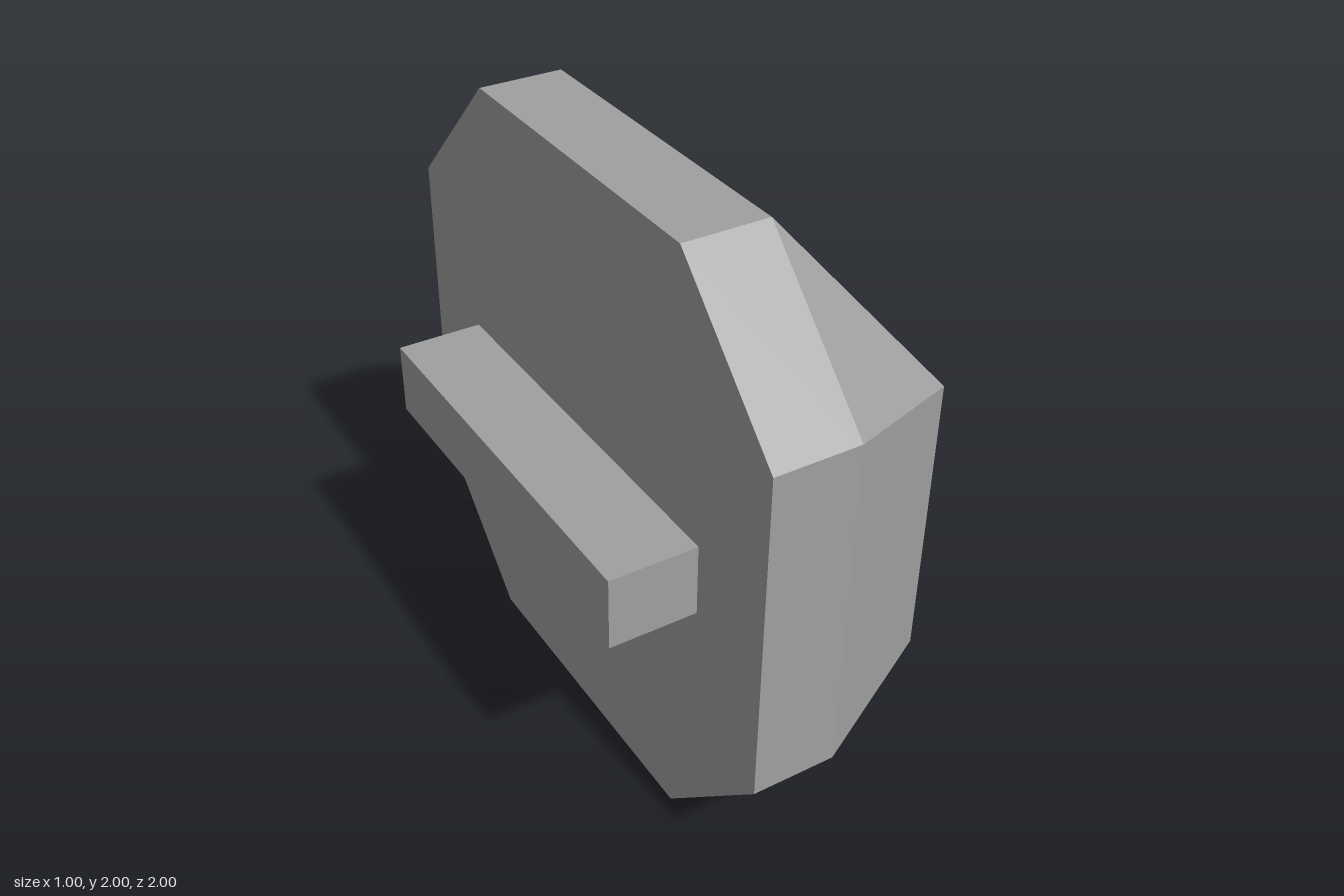
import * as THREE from 'three';

const grey = new THREE.MeshStandardMaterial({ color: 0xa0a0a0 });
grey.name = 'plain grey';

// Flat convex faces, each turned away from (side = 1) or towards (side = -1) a centre point
function facets(faces, centre, side) {
  const pos = [];
  for (const face of faces) {
    const p = face.map((c) => new THREE.Vector3(...c));
    const normal = new THREE.Triangle(p[0], p[1], p[2]).getNormal(new THREE.Vector3());
    if (normal.dot(p[0].clone().sub(centre)) * side < 0) p.reverse();
    for (let i = 1; i < p.length - 1; i++) {
      for (const v of [p[0], p[i], p[i + 1]]) pos.push(v.x, v.y, v.z);
    }
  }
  const geo = new THREE.BufferGeometry();
  geo.setAttribute('position', new THREE.Float32BufferAttribute(pos, 3));
  geo.computeVertexNormals();
  return geo;
}

const BACK = -0.215, MID = 0.06, FRONT = 0.5, SLOT_FLOOR = 0.2;

// Rectangle corners in the plane at x, in ring order
const rect = (x, h, w) => [[x, 1 + h, w], [x, 1 + h, -w], [x, 1 - h, -w], [x, 1 - h, w]];

// Octagon corners in the plane at x; each pair 2i, 2i+1 lies next to rectangle corner i
const octagon = (x) => [
  [x, 1.56, 1], [x, 2, 0.56], [x, 2, -0.56], [x, 1.56, -1],
  [x, 0.44, -1], [x, 0, -0.56], [x, 0, 0.56], [x, 0.44, 1],
];

// Quads joining two rings with equal counts
const band = (a, b) => a.map((p, i) => {
  const j = (i + 1) % a.length;
  return [p, a[j], b[j], b[i]];
});

export function createModel() {
  const group = new THREE.Group();
  const add = (name, geo) => {
    const mesh = new THREE.Mesh(geo, grey);
    mesh.name = name;
    group.add(mesh);
    return mesh;
  };

  const back = octagon(BACK), mid = octagon(MID);
  const face = rect(FRONT, 0.47, 0.797);
  const mouth = rect(FRONT, 0.1, 0.665), floor = rect(SLOT_FLOOR, 0.1, 0.665);

  // Octagonal slab, bevels down from the small face, and the face around the slot
  const bevels = [];
  for (let i = 0; i < 4; i++) {
    const j = (i + 1) % 4;
    bevels.push([mid[2 * i], mid[2 * i + 1], face[i]]);
    bevels.push([mid[2 * i + 1], mid[2 * j], face[j], face[i]]);
  }
  add('body', facets([back, ...band(back, mid), ...bevels, ...band(face, mouth)],
    new THREE.Vector3(0, 1, 0), 1));

  // Recessed slot: inner walls and floor
  add('slot', facets([...band(mouth, floor), floor],
    new THREE.Vector3((FRONT + SLOT_FLOOR) / 2, 1, 0), -1));

  // Tongue on the flat side
  const length = BACK + 0.5;
  add('tongue', new THREE.BoxGeometry(length, 0.24, 1.36)).position.set(-0.5 + length / 2, 1, 0);

  return group;
}
